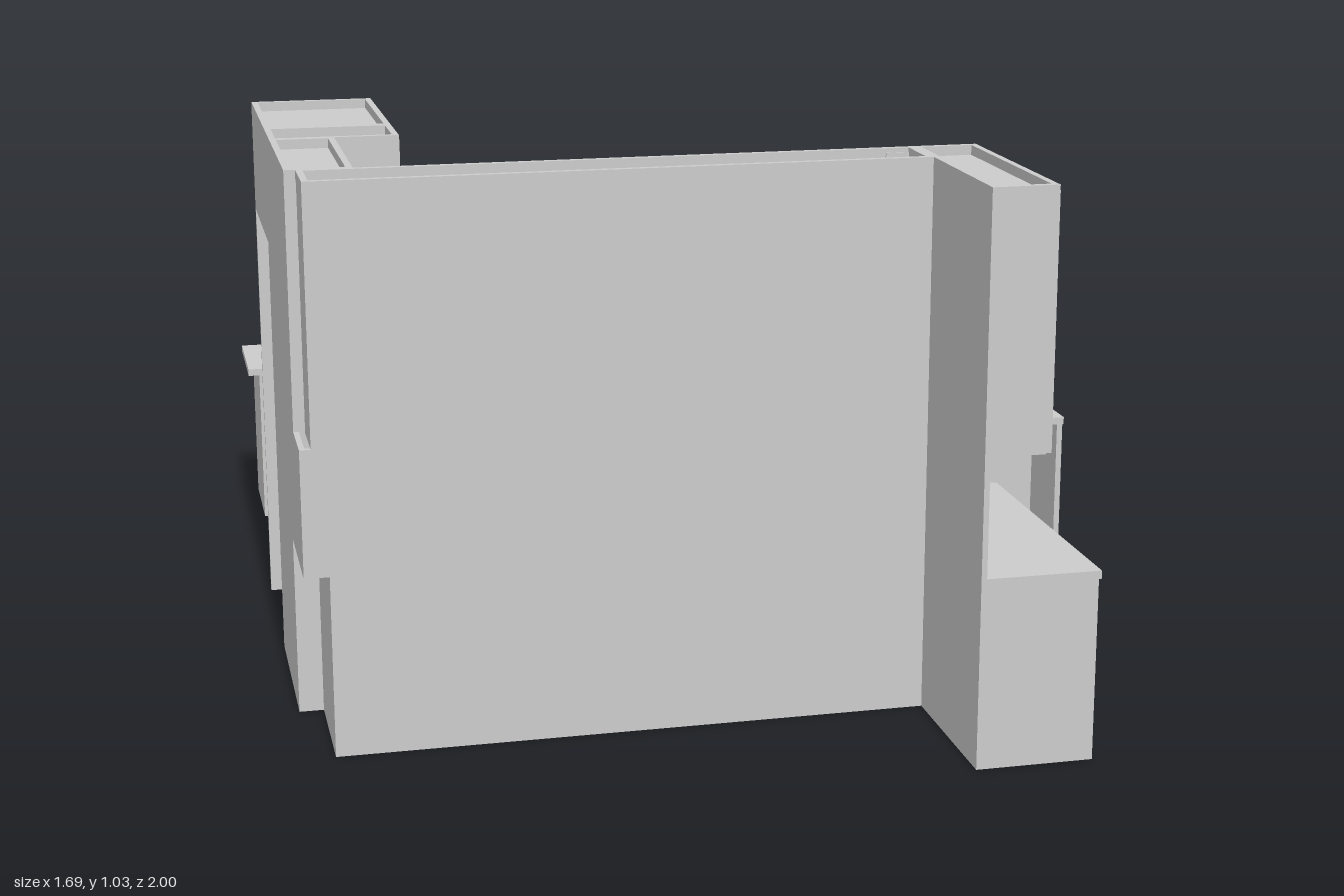
import * as THREE from 'three';

const material = new THREE.MeshStandardMaterial({ color: 0xcccccc });
const H = Math.PI / 2;
const TOP = 0.335;   // underside of the worktops
const KICK = 0.05;   // height of the toe kick

// Box given by its limits
function box(parent, name, x0, x1, y0, y1, z0, z1) {
  const mesh = new THREE.Mesh(new THREE.BoxGeometry(x1 - x0, y1 - y0, z1 - z0), material);
  mesh.position.set((x0 + x1) / 2, (y0 + y1) / 2, (z0 + z1) / 2);
  mesh.name = name;
  parent.add(mesh);
  return mesh;
}

// Bow handle standing off a front at local z = 0
function handle(parent, x, y, length, vertical) {
  const g = new THREE.Group();
  g.name = 'handle';
  const l = length / 2, t = 0.002;
  box(g, 'handleBar', -l, l, -t, t, 0.007, 0.011);
  for (const s of [-1, 1]) box(g, 'handlePost', s * (l - t) - t, s * (l - t) + t, -t, t, 0, 0.008);
  g.position.set(x, y, 0);
  if (vertical) g.rotation.z = H;
  parent.add(g);
}

// Drawer or door panel with a narrow shadow gap all round
function front(parent, name, x0, x1, y0, y1) {
  const gap = 0.0015;
  box(parent, name, x0 + gap, x1 - gap, y0 + gap, y1 - gap, -0.012, 0);
}

function drawers(parent, x0, x1, levels) {
  for (let i = 0; i < levels.length - 1; i++) {
    front(parent, 'drawerFront', x0, x1, levels[i + 1], levels[i]);
    handle(parent, (x0 + x1) / 2, levels[i] - 0.033, 0.12, false);
  }
}

// Doors between the given edges; pulls lists the x of each handle
function doors(parent, edges, y0, y1, pulls, pullY) {
  for (let i = 0; i < edges.length - 1; i++) front(parent, 'door', edges[i], edges[i + 1], y0, y1);
  for (const x of pulls) handle(parent, x, pullY, 0.06, true);
}

// Carcass whose front lies on local z = 0; angle turns that front
function cabinet(root, name, x, z, angle, x0, x1, y0, y1, depth, kick = false) {
  const g = new THREE.Group();
  g.name = name;
  box(g, 'carcass', x0, x1, kick ? KICK : y0, y1, -depth, -0.011);
  if (kick) box(g, 'toeKick', x0, x1, 0, KICK, -depth, -0.045);
  g.position.set(x, 0, z);
  g.rotation.y = angle;
  root.add(g);
  return g;
}

// Raised rim around the top of a wall cabinet
function rim(root, x0, x1, z0, z1) {
  const t = 0.012, a = 1.012, b = 1.033;
  box(root, 'topRim', x0, x1, a, b, z0, z0 + t);
  box(root, 'topRim', x0, x1, a, b, z1 - t, z1);
  box(root, 'topRim', x0, x0 + t, a, b, z0 + t, z1 - t);
  box(root, 'topRim', x1 - t, x1, a, b, z0 + t, z1 - t);
}

const LEVELS = [0.333, 0.27, 0.157, KICK];

export function createModel() {
  const root = new THREE.Group();
  root.name = 'officeFurniture';
  const top = (name, x0, x1, z0, z1) => box(root, name, x0, x1, TOP, 0.35, z0, z1);

  // Small drawer cabinet
  top('smallCabinetTop', -0.845, -0.545, -1, -0.765);
  const small = cabinet(root, 'smallCabinet', -0.695, -0.77, 0, -0.115, 0.115, 0, TOP, 0.215, true);
  drawers(small, -0.115, 0.115, LEVELS);
  for (const s of [-1, 1]) box(small, 'sidePanel', s * 0.12 - 0.006, s * 0.12 + 0.006, 0, TOP, -0.22, 0);

  // Rear credenza: drawers, doors, knee space, pedestal
  top('credenzaTop', -0.25, 0.845, -1, -0.765);
  const cred = cabinet(root, 'credenza', 0, -0.77, 0, -0.235, 0.37, 0, TOP, 0.225, true);
  drawers(cred, -0.235, 0, LEVELS);
  front(cred, 'drawerFront', 0, 0.37, 0.27, 0.333);
  handle(cred, 0.185, 0.3, 0.12, false);
  doors(cred, [0, 0.185, 0.37], KICK, 0.27, [0.17, 0.2], 0.215);
  box(cred, 'endPanel', -0.247, -0.235, 0, TOP, -0.228, 0);
  const credPed = cabinet(root, 'credenzaPedestal', 0, -0.77, 0, 0.6, 0.828, 0, TOP, 0.225, true);
  drawers(credPed, 0.6, 0.828, LEVELS);
  box(credPed, 'endPanel', 0.828, 0.84, 0, TOP, -0.228, 0);

  // Island desk: two pedestals facing back, full-depth end panels
  top('islandTop', -0.215, 0.805, -0.35, 0.035);
  for (const [c, end] of [[-0.003, -0.124], [0.677, 0.797]]) {
    const ped = cabinet(root, 'islandPedestal', c, -0.345, Math.PI, -0.115, 0.115, 0, TOP, 0.235, true);
    drawers(ped, -0.115, 0.115, LEVELS);
    box(root, 'islandEndPanel', end - 0.006, end + 0.006, 0, TOP, -0.345, 0.033);
  }

  // Wall run: back panels
  box(root, 'lowerBackPanel', -0.8, 0.285, 0, TOP, 0.68, 0.69);
  box(root, 'backsplash', -0.845, 0.285, TOP, 0.567, 0.68, 0.69);
  box(root, 'upperBackPanel', -0.825, 0.285, 0.567, 1.033, 0.68, 0.69);

  // Wall run: worktop and base cabinets (local x is mirrored)
  top('wallWorktop', -0.845, 0.505, 0.455, 0.68);
  const base = cabinet(root, 'wallBase', 0, 0.46, Math.PI, -0.49, 0.61, 0, TOP, 0.22, true);
  front(base, 'drawerFront', -0.49, -0.17, 0.27, 0.333);
  handle(base, -0.335, 0.3, 0.12, false);
  doors(base, [-0.49, -0.333, -0.17], KICK, 0.27, [-0.35, -0.315], 0.215);
  drawers(base, -0.17, 0.05, LEVELS);
  drawers(base, 0.05, 0.6, LEVELS);
  box(root, 'baseEndPanel', 0.49, 0.502, 0, TOP, 0.458, 0.69);
  box(root, 'cornerBase', -0.8, -0.61, KICK, TOP, 0.46, 0.68);
  box(root, 'cornerKick', -0.8, -0.65, 0, KICK, 0.46, 0.68);

  // Wall run: upper cabinets
  const upper = cabinet(root, 'wallUpper', 0, 0.57, Math.PI, -0.285, 0.825, 0.567, 1.015, 0.11);
  doors(upper, [-0.23, -0.03, 0.165, 0.355, 0.55, 0.725], 0.567, 1.025,
    [-0.045, -0.017, 0.535], 0.63);
  box(root, 'upperFiller', 0.23, 0.285, 0.567, 1.025, 0.57, 0.585);
  rim(root, -0.825, 0.285, 0.57, 0.69);

  // Right wing: desk with one drawer, end panel and back
  top('wingTop', 0.285, 0.505, 0.68, 1);
  box(root, 'wingBackPanel', 0.285, 0.295, 0, TOP, 0.69, 0.988);
  box(root, 'wingEndPanel', 0.285, 0.5, 0, TOP, 0.988, 1);
  box(root, 'wingBacksplash', 0.285, 0.295, 0.35, 0.567, 0.69, 1);
  const wing = cabinet(root, 'wingDrawer', 0.5, 0.85, H, -0.138, 0.145, 0.27, TOP, 0.2);
  drawers(wing, -0.138, 0.145, [0.333, 0.27]);

  // Right wing: upper cabinet
  const wingUpper = cabinet(root, 'wingUpper', 0.405, 0.785, H, -0.215, 0.215, 0.567, 1.015, 0.12);
  doors(wingUpper, [-0.215, 0, 0.215], 0.567, 1.025, [-0.014, 0.014], 0.63);
  rim(root, 0.285, 0.404, 0.57, 1);

  // Left wing: drawer base, backsplash and upper cabinet
  top('leftWorktop', -0.845, -0.605, 0.23, 0.455);
  const left = cabinet(root, 'leftBase', -0.61, 0.345, H, -0.115, 0.115, 0, TOP, 0.235, true);
  drawers(left, -0.115, 0.115, LEVELS);
  box(root, 'leftBacksplash', -0.845, -0.835, 0.35, 0.567, 0.23, 0.68);
  const leftUpper = cabinet(root, 'leftUpper', -0.725, 0.4, H, -0.17, 0.17, 0.567, 1.015, 0.12);
  doors(leftUpper, [-0.17, 0, 0.17], 0.567, 1.025, [-0.014, 0.014], 0.63);
  rim(root, -0.845, -0.726, 0.23, 0.57);

  // Left wing: tall cabinet
  const tall = cabinet(root, 'tallCabinet', -0.605, 0.168, H, -0.062, 0.066, 0, 0.815, 0.24, true);
  doors(tall, [-0.062, 0.066], KICK, 0.813, [0.048], 0.39);

  // Left wing: bridge cabinet over the open bay, carried by an end panel
  const bridge = cabinet(root, 'bridgeCabinet', -0.605, 0, H, -0.234, 0.243, 0.815, 1.015, 0.24);
  doors(bridge, [-0.234, -0.1, 0.07, 0.243], 0.815, 1.025, [-0.12, 0.057, 0.083], 0.87);
  box(root, 'bayEndPanel', -0.845, -0.605, 0, 1.03, -0.253, -0.243);
  rim(root, -0.845, -0.606, -0.25, 0.1);
  rim(root, -0.845, -0.606, 0.1, 0.234);

  return root;
}
